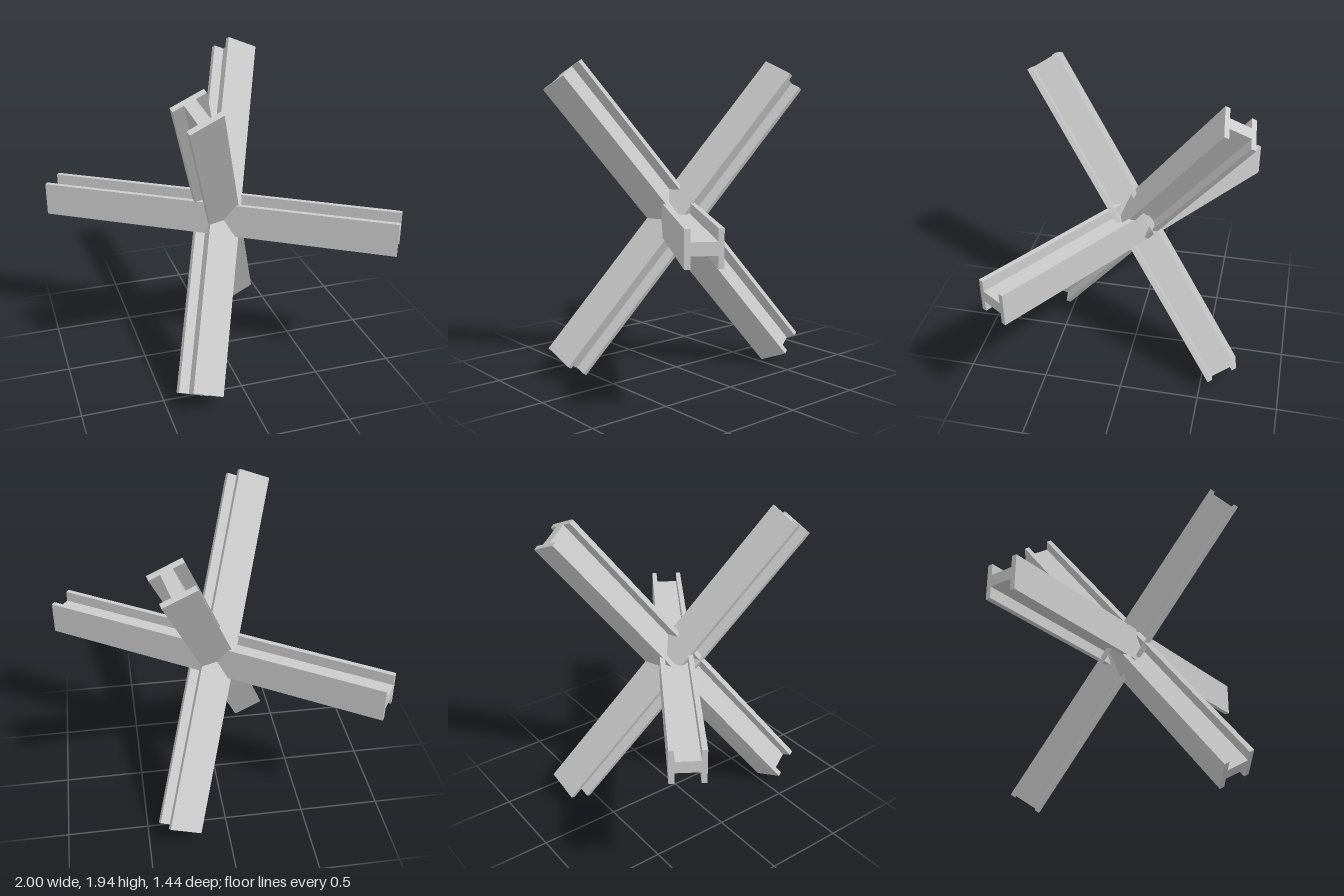
import * as THREE from 'three';

const FLANGE_WIDTH = 0.208, DEPTH = 0.204, FLANGE = 0.031, WEB = 0.072, LENGTH = 2.25;
const CENTRE_Y = 0.977;

// I-shaped section: flanges run along x, the web along y
function beamGeometry() {
  const w = FLANGE_WIDTH / 2, h = DEPTH / 2, t = WEB / 2, f = h - FLANGE;
  const quarter = [[w, h], [w, f], [t, f]];
  const points = [
    ...quarter,
    ...quarter.map(([x, y]) => [x, -y]).reverse(),
    ...quarter.map(([x, y]) => [-x, -y]),
    ...quarter.map(([x, y]) => [-x, y]).reverse(),
  ].map(([x, y]) => new THREE.Vector2(x, y));
  const geometry = new THREE.ExtrudeGeometry(new THREE.Shape(points), { depth: LENGTH, bevelEnabled: false });
  geometry.translate(0, 0, -LENGTH / 2);
  return geometry;
}

export function createModel() {
  const group = new THREE.Group();
  group.name = 'crossedBeamObstacle';
  const geometry = beamGeometry();
  const material = new THREE.MeshStandardMaterial({ color: 0xcccccc });

  // Each beam: length direction and flange width direction
  const beams = [
    ['levelBeam', [0.837, 0, 0.547], [0, 1, 0]],
    ['leaningBeamFrontTop', [-0.273, 0.783, 0.558], [0.19, 0.08, -0.02]],
    ['leaningBeamBackTop', [-0.273, -0.783, 0.558], [0.19, -0.08, -0.02]],
  ];
  for (const [name, along, across] of beams) {
    const z = new THREE.Vector3(...along).normalize();
    const y = z.clone().cross(new THREE.Vector3(...across)).normalize();
    const x = y.clone().cross(z);
    const beam = new THREE.Mesh(geometry, material);
    beam.name = name;
    beam.quaternion.setFromRotationMatrix(new THREE.Matrix4().makeBasis(x, y, z));
    beam.position.y = CENTRE_Y;
    group.add(beam);
  }
  return group;
}
